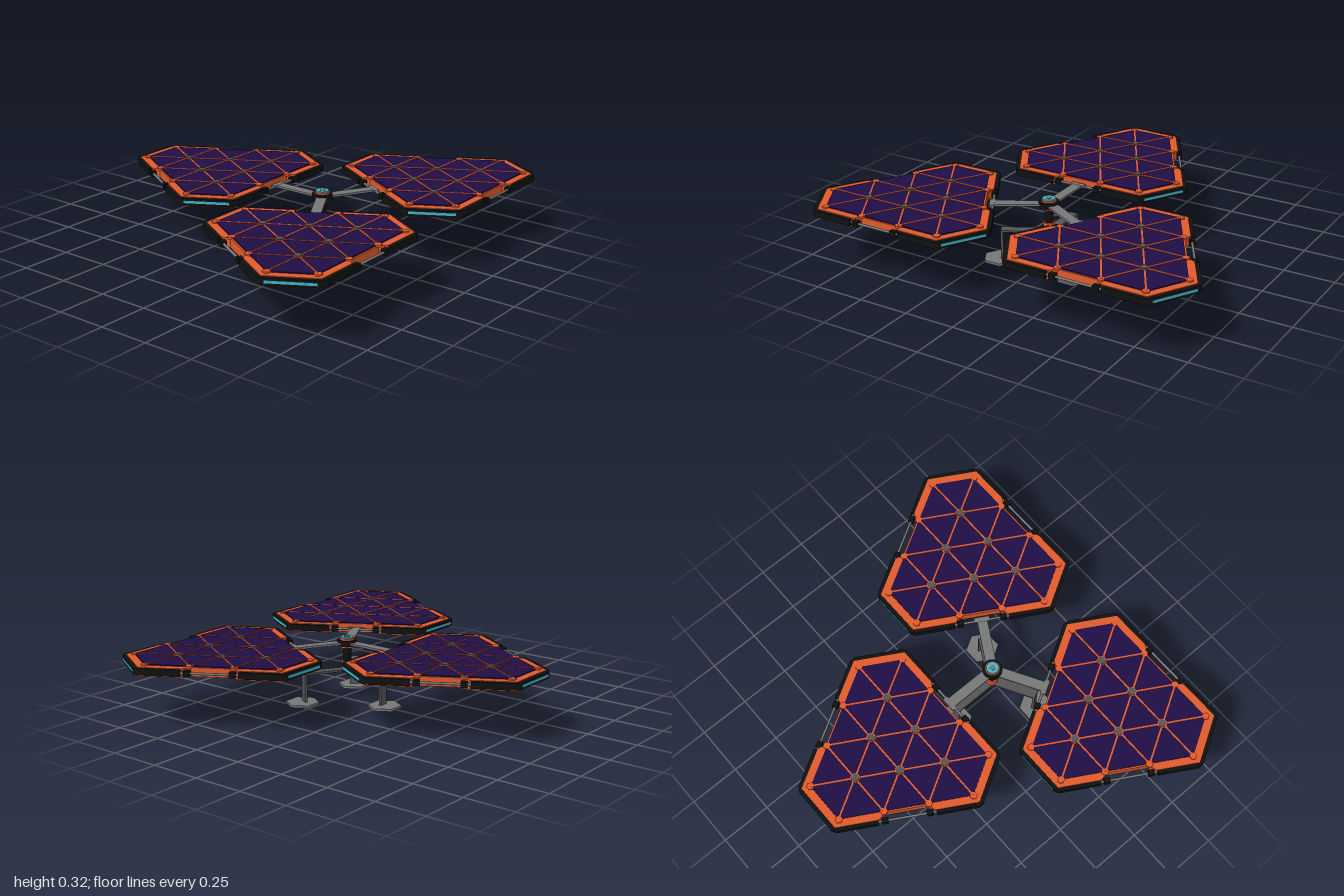
import * as THREE from 'three';

const S3 = Math.sqrt(3), THIRD = Math.PI * 2 / 3;
const mat = (color) => new THREE.MeshStandardMaterial({ color });
const orange = mat(0xe05a2b), navy = mat(0x1e0d45), black = mat(0x111111);
const cyan = mat(0x3fb8cc), steel = mat(0x777777), darkSteel = mat(0x555555);

function add(parent, name, geometry, material, x = 0, y = 0, z = 0) {
  const mesh = new THREE.Mesh(geometry, material);
  mesh.name = name;
  mesh.position.set(x, y, z);
  parent.add(mesh);
  return mesh;
}
const box = (w, h, d) => new THREE.BoxGeometry(w, h, d);

// flat plate from an outline; outline y points to -z
function slab(points, y0, y1) {
  const shape = new THREE.Shape(points.map(([x, y]) => new THREE.Vector2(x, y)));
  const g = new THREE.ExtrudeGeometry(shape, { depth: y1 - y0, bevelEnabled: false });
  return g.rotateX(-Math.PI / 2).translate(0, y0, 0);
}

// upright cylinder between two heights
function post(parent, name, r, y0, y1, material, x = 0, z = 0, sides = 24) {
  const g = new THREE.CylinderGeometry(r, r, y1 - y0, sides);
  if (sides === 6) g.rotateY(Math.PI / 6);
  return add(parent, name, g, material, x, (y0 + y1) / 2, z);
}

// outline with three long sides (distance rL) and three short sides (distance rS);
// an optional notch cuts the middle of each long side
function triHex(rL, rS, notch) {
  const h = (2 * rS - rL) / S3;
  const side = [[-h, -rL], [h, -rL]];
  if (notch) side.splice(1, 0, [-0.13, -rL], [-0.1, -notch], [0.1, -notch], [0.13, -rL]);
  return [0, 1, 2].flatMap((k) => {
    const c = Math.cos(k * THIRD), s = Math.sin(k * THIRD);
    return side.map(([x, y]) => [x * c - y * s, x * s + y * c]);
  });
}

// edge bumper wrapping one short side and part of both neighbouring long sides
function bumperOutline() {
  const corner = (rL, rS, t) => [(2 * rL - rS) / S3 + t * 0.5, rS - t * S3 / 2];
  const reach = (rL, rS) => (2 * rS - rL) / S3 - 0.135;
  const [oL, oS, iL, iS] = [0.353, 0.477, 0.33, 0.454];
  const c = corner(oL, oS, 0);
  const outer = [corner(oL, oS, reach(oL, oS)), corner(oL, oS, 0.016), [c[0] - 0.016, c[1]]];
  const inner = [corner(iL, iS, 0), corner(iL, iS, reach(iL, iS))];
  const flip = (list) => list.map(([x, y]) => [-x, y]).reverse();
  return [...outer, ...flip(outer), ...flip(inner), ...inner];
}

function createPanel() {
  const panel = new THREE.Group();
  panel.name = 'solarPanel';
  const NL = 0.299, NS = 0.421, STEP = 0.209, ROW = STEP * S3 / 2;

  add(panel, 'panelFrame', slab(triHex(0.335, 0.458, 0.307), 0.263, 0.306), orange);
  add(panel, 'solarCells', slab(triHex(NL, NS), 0.3, 0.311), navy);

  for (let k = 0; k < 3; k++) {
    const edge = new THREE.Group();
    edge.name = 'panelEdge';
    edge.rotation.y = k * THIRD;
    panel.add(edge);

    // bumper and light strip on the short side
    add(edge, 'edgeBumper', slab(bumperOutline(), 0.272, 0.303), black);
    add(edge, 'lightStrip', box(0.215, 0.012, 0.004), cyan, 0, 0.287, -0.4765);

    // grab rail on the long side
    const rail = new THREE.CylinderGeometry(0.006, 0.006, 0.28, 10).rotateZ(Math.PI / 2);
    add(edge, 'grabRail', rail, steel, 0, 0.287, 0.339);
    for (const s of [-1, 1]) add(edge, 'railClamp', box(0.03, 0.026, 0.026), black, s * 0.105, 0.287, 0.339);

    // grid lines between the cells
    for (const o of [2 * ROW * 2 / 3, ROW / 3, -ROW * 2 / 3]) {
      const half = Math.min(NS + o / 2, NL - o / 2) * 2 / S3;
      add(edge, 'gridLine', box(2 * half, 0.006, 0.008), orange, 0, 0.31, -o);
    }
  }

  // hexagonal studs at inner grid crossings, small pads where lines meet the frame
  [2, 3, 4, 5, 4].forEach((count, row) => {
    for (let i = 0; i < count; i++) {
      const x = (i - (count - 1) / 2) * STEP;
      const z = -(NS - row * ROW);
      if (row % 4 === 0 || i === 0 || i === count - 1) {
        post(panel, 'gridPad', 0.018, 0.302, 0.3125, orange, x, z, 6);
      } else {
        post(panel, 'gridStudBase', 0.025, 0.305, 0.314, orange, x, z, 6);
        post(panel, 'gridStud', 0.02, 0.31, 0.318, darkSteel, x, z, 6);
      }
    }
  });
  return panel;
}

export function createModel() {
  const model = new THREE.Group();
  model.name = 'solarArray';
  const hub = new THREE.Group();
  hub.name = 'hub';
  hub.position.z = 0.212;
  model.add(hub);

  // central mast
  post(hub, 'mastCollar', 0.028, 0.142, 0.196, orange);
  post(hub, 'mast', 0.021, 0.15, 0.28, black);
  post(hub, 'hubBody', 0.036, 0.264, 0.31, orange);
  post(hub, 'hubFlange', 0.048, 0.274, 0.302, black);
  post(hub, 'hubLight', 0.03, 0.3, 0.317, cyan);
  post(hub, 'hubCap', 0.014, 0.31, 0.319, steel);

  // three spokes, each with a panel, its arm and a leg
  for (let k = 0; k < 3; k++) {
    const spoke = new THREE.Group();
    spoke.name = 'spoke';
    spoke.rotation.y = k * THIRD;
    hub.add(spoke);

    const panel = createPanel();
    panel.position.z = -0.6;
    spoke.add(panel);

    add(spoke, 'panelArm', box(0.05, 0.01, 0.25), steel, 0, 0.287, -0.145);
    add(spoke, 'armBracket', box(0.075, 0.012, 0.025), steel, 0, 0.287, -0.265);

    add(spoke, 'legArm', box(0.046, 0.01, 0.226), darkSteel, 0, 0.152, -0.113);
    add(spoke, 'leg', box(0.046, 0.148, 0.012), darkSteel, 0, 0.08, -0.222);
    post(spoke, 'foot', 0.082, 0, 0.012, steel, 0, -0.233, 6);
  }
  return model;
}
